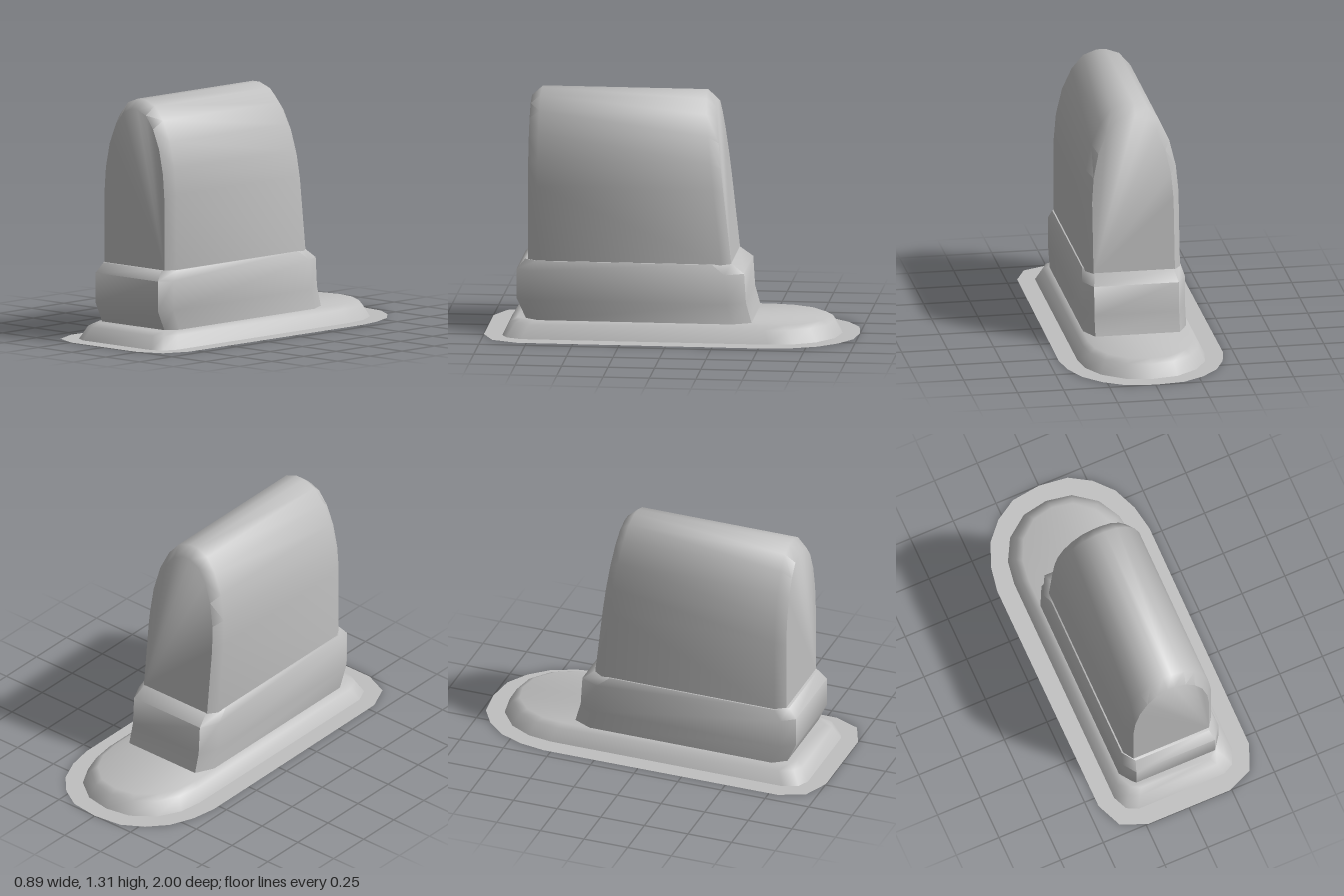
import * as THREE from 'three';
import { toCreasedNormals } from 'three/addons/utils/BufferGeometryUtils.js';

const grey = new THREE.MeshStandardMaterial({ color: 0xc0c0c0, side: THREE.DoubleSide });
grey.name = 'light grey';

// Skin a stack of closed rings, with optional flat end caps
function loft(rings, capStart, capEnd, crease = 0.8) {
  const n = rings[0].length, index = [];
  for (let i = 0; i < rings.length - 1; i++) {
    for (let j = 0; j < n; j++) {
      const k = (j + 1) % n, a = i * n, b = a + n;
      index.push(a + j, a + k, b + k, a + j, b + k, b + j);
    }
  }
  const last = (rings.length - 1) * n;
  for (let j = 1; j < n - 1; j++) {
    if (capStart) index.push(0, j + 1, j);
    if (capEnd) index.push(last, last + j, last + j + 1);
  }
  const g = new THREE.BufferGeometry();
  g.setAttribute('position', new THREE.Float32BufferAttribute(rings.flat(2), 3));
  g.setIndex(index);
  return toCreasedNormals(g, crease);
}

// Complete a half outline by mirroring it in x
const mirrored = half => [
  ...half,
  ...half.filter(p => p[0] > 0).reverse().map(([x, v]) => [-x, v]),
];

export function createModel() {
  const model = new THREE.Group();
  const add = (name, geometry) => {
    const mesh = new THREE.Mesh(geometry, grey);
    mesh.name = name;
    model.add(mesh);
    return mesh;
  };

  // Foot outlines: chamfered front, rounded back
  const flangeOutline = mirrored([[0.24, 1], [0.38, 0.94], [0.44, 0.8], [0.445, -0.54],
    [0.42, -0.68], [0.365, -0.81], [0.275, -0.91], [0.16, -0.98], [0, -1]]);
  const baseOutline = mirrored([[0.25, 0.9], [0.31, 0.87], [0.345, 0.79], [0.345, -0.54],
    [0.325, -0.67], [0.26, -0.79], [0.14, -0.88], [0, -0.905]]);

  // Thin flat flange around the foot
  const toPoints = o => o.map(([x, z]) => new THREE.Vector2(x, -z));
  const flangeShape = new THREE.Shape(toPoints(flangeOutline));
  flangeShape.holes.push(new THREE.Path(toPoints(baseOutline)));
  add('flange', new THREE.ShapeGeometry(flangeShape).rotateX(-Math.PI / 2));

  // Hollow foot with a rounded upper edge
  const baseRing = (y, sx, sz) => baseOutline.map(([x, z]) => [x * sx, y, z * sz]);
  add('base', loft([baseRing(0, 1, 1), baseRing(0.07, 0.9, 0.955), baseRing(0.09, 0.81, 0.915)],
    false, true));

  // Rails inside the foot, rounded at the back
  for (const [x, front, back] of [[0.2, 0.72, -0.42], [-0.04, 0.46, -0.46]]) {
    const outline = mirrored([[0.08, front], [0.08, back + 0.06], [0.04, back]]);
    const ring = y => outline.map(([px, z]) => [px + x, y, z]);
    add('rail', loft([ring(0.01), ring(0.088)], true, false, 0.3));
  }

  // Lower casing with chamfered corners and an undercut front
  const casingRing = ([y, w, front, back]) => mirrored([
    [w - 0.05, front], [w, front - 0.07], [w, back + 0.1], [w - 0.05, back],
  ]).map(([x, z]) => [x, y, z]);
  add('casing', loft([
    [0.092, 0.28, 0.775, -0.44],
    [0.2, 0.28, 0.825, -0.41],
    [0.36, 0.28, 0.825, -0.4],
    [0.413, 0.265, 0.78, -0.33],
  ].map(casingRing), true, true, 0.9));

  // Arched housing: bevelled ends, sloping back
  const arch = mirrored([[0.257, 0.41], [0.257, 0.82], [0.245, 0.96], [0.212, 1.1],
    [0.16, 1.212], [0.098, 1.285], [0.025, 1.312]]);
  const archRing = (inset, zAt) => arch.map(([x, y]) => {
    const px = inset ? x * 0.86 : x;
    const py = inset ? 0.41 + (y - 0.41) * 0.945 : y;
    return [px, py, zAt(py)];
  });
  const slope = y => 0.1 * (1.31 - y) / 0.9;
  add('housing', loft([
    archRing(true, y => -0.23 - slope(y)),
    archRing(false, y => -0.18 - slope(y)),
    archRing(false, () => 0.71),
    archRing(true, () => 0.765),
  ], true, true, 0.9));

  return model;
}
